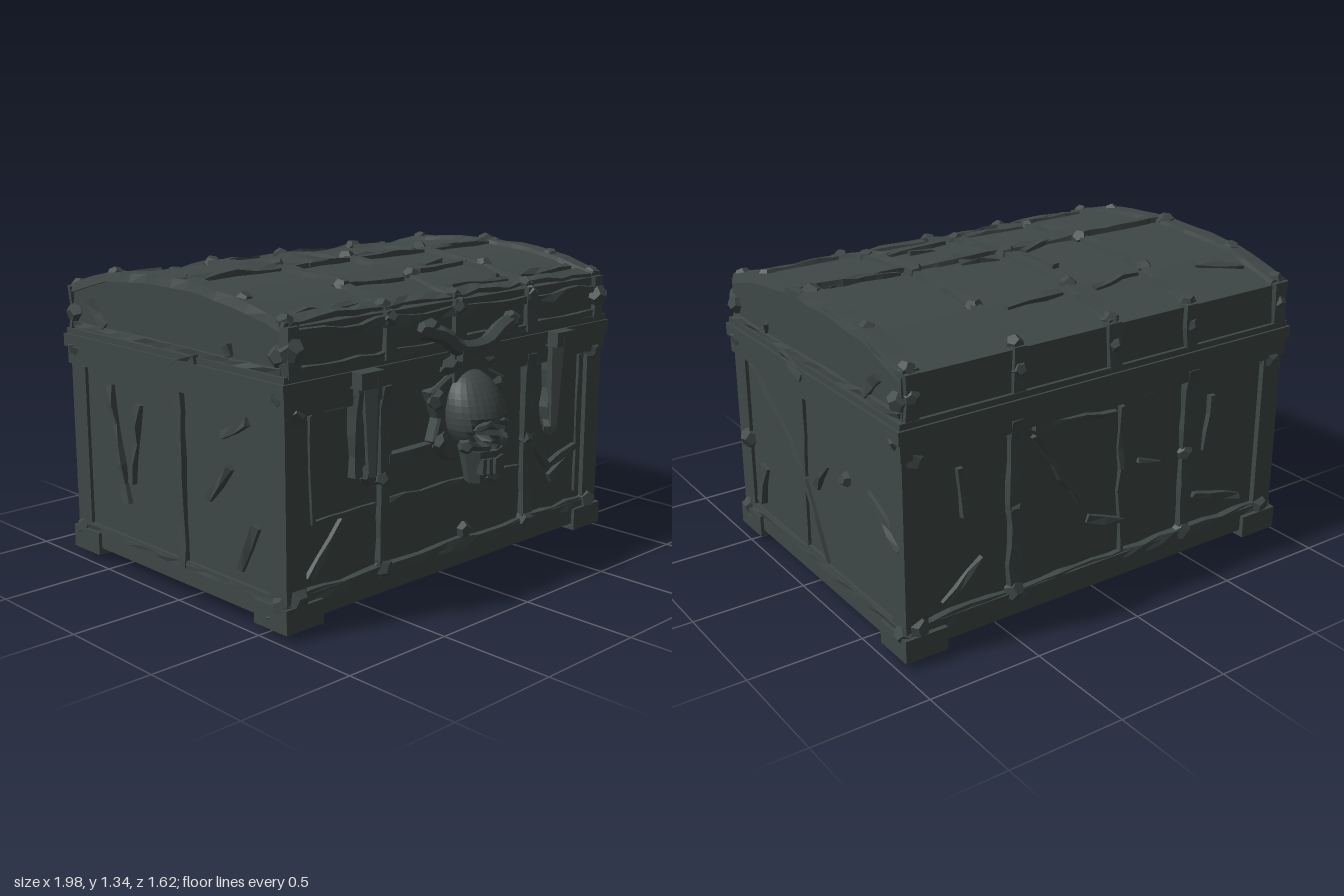
import * as THREE from 'three';

const iron = new THREE.MeshStandardMaterial({ color: 0x3f4847, flatShading: true });
iron.name = 'weathered dark grey';

let seed = 7;
const rnd = () => { seed = (seed * 16807) % 2147483647; return seed / 2147483647 - 0.5; };
const V = (x, y, z) => new THREE.Vector3(x, y, z);

// Lid outline, from front to back (z, y)
const arch = [[0.615, 1.185], [0.4, 1.245], [0.2, 1.272], [0, 1.285], [-0.25, 1.28], [-0.5, 1.258], [-0.77, 1.18]];
function archAt(z) {
  let i = 0;
  while (i < arch.length - 2 && arch[i + 1][0] > z) i++;
  const [z0, y0] = arch[i], [z1, y1] = arch[i + 1];
  return { y: y0 + (y1 - y0) * (z - z0) / (z1 - z0), n: V(0, z0 - z1, y1 - y0).normalize() };
}

// Surfaces: each maps two coordinates to a point and its outward normal
const faces = {
  front: (u, v) => ({ p: V(u, v, v > 0.86 ? 0.615 : 0.598), n: V(0, 0, 1) }),
  back: (u, v) => ({ p: V(u, v, v > 0.86 ? -0.77 : -0.75), n: V(0, 0, -1) }),
  right: (u, v) => ({ p: V(0.945, v, u), n: V(1, 0, 0) }),
  left: (u, v) => ({ p: V(-0.945, v, u), n: V(-1, 0, 0) }),
  lid: (u, v) => { const a = archAt(v); return { p: V(u, a.y, v), n: a.n }; },
};

export function createModel() {
  const root = new THREE.Group();
  root.name = 'treasureChest';

  function add(name, geo, x = 0, y = 0, z = 0) {
    const m = new THREE.Mesh(geo, iron);
    m.name = name;
    m.position.set(x, y, z);
    root.add(m);
    return m;
  }
  const box = (name, x0, x1, y0, y1, z0, z1) =>
    add(name, new THREE.BoxGeometry(x1 - x0, y1 - y0, z1 - z0), (x0 + x1) / 2, (y0 + y1) / 2, (z0 + z1) / 2);

  // Chipped strip lying on a surface, swept through a few points
  function strip(name, face, pts, w, t, rough = 0.25, step = 0.09) {
    const line = [];
    pts.forEach(([u, v], i) => {
      if (i === 0) return line.push([u, v]);
      const [a, b] = pts[i - 1];
      const k = Math.max(1, Math.round(Math.hypot(u - a, v - b) / step));
      for (let j = 1; j <= k; j++) line.push([a + (u - a) * j / k, b + (v - b) * j / k]);
    });
    const q = line.map(([u, v]) => faces[face](u, v));
    const pos = [], idx = [], last = q.length - 1;
    q.forEach(({ p, n }, i) => {
      const tan = q[Math.min(i + 1, last)].p.clone().sub(q[Math.max(i - 1, 0)].p).normalize();
      const s = tan.cross(n).normalize();
      const r = () => 1 + rnd() * 2 * rough;
      const a = w / 2 * r(), b = w / 2 * r(), h = t * r();
      [[a, -0.02], [a * 0.75, h], [-b * 0.75, t * r()], [-b, -0.02]].forEach(([x, y]) =>
        pos.push(...p.clone().addScaledVector(s, x).addScaledVector(n, y)));
      if (i === last) return;
      for (let k = 0; k < 4; k++) {
        const A = i * 4 + k, B = i * 4 + (k + 1) % 4;
        idx.push(A, A + 4, B + 4, A, B + 4, B);
      }
    });
    const e = last * 4;
    idx.push(0, 1, 2, 0, 2, 3, e, e + 3, e + 2, e, e + 2, e + 1);
    const g = new THREE.BufferGeometry();
    g.setAttribute('position', new THREE.Float32BufferAttribute(pos, 3));
    g.setIndex(idx);
    g.computeVertexNormals();
    return add(name, g);
  }

  // Rough hammered lump
  function lump(name, x, y, z, rx, ry, rz) {
    const m = add(name, new THREE.DodecahedronGeometry(1), x, y, z);
    m.scale.set(rx, ry, rz);
    m.rotation.set(rnd(), rnd(), rnd());
    return m;
  }
  function stud(face, u, v, r = 0.04) {
    const { p } = faces[face](u, v);
    lump('stud', p.x, p.y, p.z, r, r, r);
  }

  // Body with a raised frame
  box('body', -0.945, 0.945, 0.06, 0.88, -0.75, 0.598);
  box('bottomRail', -0.96, 0.96, 0.05, 0.15, -0.775, 0.62);
  for (const x of [-1, 1]) {
    for (const z of [-0.725, 0.57]) box('cornerPost', x * 0.91 - 0.05, x * 0.91 + 0.05, 0.05, 0.88, z - 0.05, z + 0.05);
    for (const z of [-0.7, 0.54]) {
      lump('foot', x * 0.88, 0.07, z, 0.1, 0.068, 0.1);
      box('footPlate', x * 0.88 - 0.095, x * 0.88 + 0.095, 0.02, 0.12, z - 0.095, z + 0.095);
    }
  }

  // Lid: rim and arched top
  box('lidRim', -0.97, 0.97, 0.855, 1.01, -0.785, 0.63);
  box('rimLip', -0.982, 0.982, 0.93, 0.985, -0.795, 0.64);
  const s = new THREE.Shape([[0.615, 0.95], ...arch, [-0.77, 0.95]].map(([z, y]) => new THREE.Vector2(-z, y)));
  const lid = new THREE.ExtrudeGeometry(s, { depth: 1.9, bevelEnabled: false });
  lid.translate(0, 0, -0.95).rotateY(Math.PI / 2);
  add('lidArch', lid);

  // Ribs over the lid, with studs
  for (const x of [-0.92, -0.42, -0.02, 0.44, 0.91]) {
    const edge = Math.abs(x) > 0.8;
    strip('lidRib', 'lid', [[x, 0.61], [x, -0.765]], edge ? 0.09 : 0.06, 0.018);
    strip('lidFrontRib', 'front', [[x, 1.0], [x, 1.19]], 0.08, 0.02);
    strip('lidBackRib', 'back', [[x, 1.0], [x, 1.19]], 0.08, 0.015);
    for (const z of [0.58, 0.35, -0.04, -0.47, -0.74]) stud('lid', x, z, z === -0.04 ? 0.046 : 0.04);
    stud('front', x, edge ? 1.1 : 1.16, edge ? 0.055 : 0.04);
    stud('back', x, 1.1, 0.035);
  }
  strip('lidCrossRib', 'lid', [[-0.94, 0], [0.94, 0]], 0.05, 0.018, 0.5);
  strip('lidFrontEdge', 'lid', [[-0.94, 0.57], [0.94, 0.57]], 0.07, 0.016, 0.5);
  strip('lidFrontBand', 'front', [[-0.94, 1.15], [0.94, 1.13]], 0.05, 0.015, 0.5);
  strip('lidLowerBand', 'front', [[-0.95, 1.02], [0.95, 1.02]], 0.04, 0.015, 0.4);
  // Splinters on the lid
  [[-0.85, -0.62, -0.65, -0.53], [-0.35, -0.5, -0.1, -0.53], [0.05, -0.52, 0.33, -0.53], [0.05, -0.08, 0.22, -0.05],
    [0.5, -0.02, 0.82, -0.01], [0.06, 0.32, 0.4, 0.28], [0.38, 0.28, 0.38, 0.48], [-0.85, 0.52, -0.5, 0.52],
    [-0.4, 0.35, -0.1, 0.38], [0.5, 0.5, 0.85, 0.5], [0.05, 0.5, 0.4, 0.52], [0.18, 0.23, 0.3, 0.22],
    [-0.09, -0.3, -0.06, -0.05], [-0.3, 0.02, -0.1, -0.06]]
    .forEach(([a, b, c, d]) => strip('lidSplinter', 'lid', [[a, b], [c, d]], 0.035, 0.014, 0.6));

  // Front and back straps and planks
  for (const f of ['front', 'back']) {
    for (const x of [-0.44, 0.45]) {
      strip('strap', f, [[x, 0.1], [x, 0.9]], 0.07, 0.024);
      stud(f, x, 0.15, 0.05);
      stud(f, x, 0.52, 0.04);
    }
    for (const x of [-0.9, 0.9]) { stud(f, x, 0.14, 0.055); stud(f, x, 0.85, 0.05); }
    strip('lowerBand', f, [[-0.93, 0.14], [0.93, 0.14]], 0.05, 0.022, 0.4);
    strip('upperBand', f, [[-0.95, 0.86], [0.95, 0.86]], 0.03, 0.026, 0.2);
  }
  strip('plankEdge', 'front', [[-0.4, 0.42], [0.4, 0.4]], 0.03, 0.012, 0.5);
  strip('plankEdge', 'front', [[-0.82, 0.84], [-0.81, 0.42], [-0.48, 0.42]], 0.025, 0.012);
  strip('plankEdge', 'front', [[0.82, 0.84], [0.82, 0.2]], 0.025, 0.012);
  strip('brokenPlank', 'front', [[-0.84, 0.2], [-0.66, 0.4]], 0.04, 0.02);
  strip('brokenPlank', 'front', [[-0.42, 0.6], [-0.18, 0.6]], 0.05, 0.03);
  strip('brokenPlank', 'front', [[0.48, 0.52], [0.6, 0.36], [0.8, 0.42]], 0.04, 0.02);
  strip('brokenPlank', 'front', [[0.62, 0.3], [0.74, 0.36]], 0.05, 0.02);
  stud('front', 0.05, 0.19, 0.04);
  [[0.36, 0.84, -0.05, 0.8], [0.36, 0.8, 0.12, 0.45], [-0.5, 0.3, -0.78, 0.22], [0.6, 0.35, 0.78, 0.2], [-0.1, 0.3, 0.08, 0.36],
    [-0.58, 0.75, -0.56, 0.5], [-0.08, 0.82, -0.1, 0.16], [0.7, 0.76, 0.68, 0.55], [-0.3, 0.5, -0.18, 0.55]]
    .forEach(([a, b, c, d]) => strip('backSplinter', 'back', [[a, b], [c, d]], 0.035, 0.018, 0.5));

  // Side planks and splinters
  strip('brokenPlank', 'right', [[0.48, 0.855], [0.01, 0.5], [0, 0.855]], 0.025, 0.014, 0.2);
  strip('brokenPlank', 'right', [[0.02, 0.47], [-0.15, 0.16], [0.02, 0.16], [0.02, 0.47]], 0.025, 0.014, 0.2);
  strip('splinter', 'right', [[0.45, 0.2], [0.4, 0.38]], 0.05, 0.02, 0.5);
  strip('splinter', 'right', [[-0.08, 0.48], [-0.18, 0.61]], 0.04, 0.02, 0.5);
  strip('splinter', 'right', [[-0.5, 0.62], [-0.62, 0.56], [-0.74, 0.48]], 0.035, 0.02, 0.5);
  stud('right', -0.33, 0.61, 0.035);
  stud('right', 0.54, 0.47, 0.05);
  strip('sideStrap', 'left', [[-0.02, 0.12], [-0.02, 0.87]], 0.06, 0.02);
  [[-0.5, 0.8, -0.4, 0.3], [-0.3, 0.75, -0.36, 0.4], [0.15, 0.45, 0.3, 0.6], [0.4, 0.8, 0.25, 0.72], [0.35, 0.2, 0.45, 0.4]]
    .forEach(([a, b, c, d]) => strip('splinter', 'left', [[a, b], [c, d]], 0.04, 0.022, 0.5));
  for (const f of ['right', 'left']) {
    strip('sideLidBand', f, [[0.6, 1.02], [-0.76, 1.03]], 0.03, 0.018, 0.4);
    strip('sideLowerBand', f, [[0.6, 0.13], [-0.76, 0.13]], 0.03, 0.018, 0.3);
    strip('lidEndSplinter', f, [[0.12, 1.0], [-0.06, 0.96]], 0.04, 0.032, 0.5);
    strip('lidEndSplinter', f, [[-0.52, 1.04], [-0.62, 1.14]], 0.05, 0.02, 0.5);
    strip('lidEndSplinter', f, [[0.31, 1.04], [0.29, 1.08]], 0.04, 0.02, 0.5);
    for (const z of [0.58, -0.74]) for (const y of [1.08, 0.93, 0.12]) stud(f, z, y, 0.045);
  }

  // Tapered hinge pegs on the front
  for (const [x, lean] of [[-0.58, 0.03], [0.6, -0.015]]) {
    strip('pegPlate', 'front', [[x, 0.56], [x, 0.98]], 0.1, 0.035);
    const peg = add('peg', new THREE.CylinderGeometry(0.048, 0.022, 0.4, 5), x + lean, 0.76, 0.65);
    peg.rotation.z = lean;
    box('pegHead', x - 0.06, x + 0.06, 0.92, 0.985, 0.6, 0.695);
    lump('pegTip', x + lean, 0.56, 0.63, 0.03, 0.05, 0.04);
  }

  // Hasp with horn-like wings
  box('haspPlate', -0.09, 0.12, 0.86, 1.0, 0.6, 0.665);
  box('haspBar', -0.08, 0.11, 0.95, 1.0, 0.6, 0.7);
  const wing = new THREE.CatmullRomCurve3([V(-0.25, 1.09, 0.63), V(-0.15, 1.06, 0.66), V(-0.07, 1.0, 0.67),
    V(0.1, 1.0, 0.67), V(0.18, 1.04, 0.66), V(0.31, 1.07, 0.63)]);
  add('hornWings', new THREE.TubeGeometry(wing, 14, 0.036, 6));
  for (const [x, y] of [[-0.22, 1.1], [0.29, 1.07], [-0.1, 0.93], [0.13, 0.93]]) lump('wingKnob', x, y, 0.64, 0.05, 0.04, 0.04);

  // Lock plate behind the skull
  const plate = new THREE.Shape([[-0.2, 0.83], [-0.1, 0.88], [0.13, 0.88], [0.24, 0.83], [0.21, 0.72], [0.24, 0.63],
    [0.14, 0.54], [-0.09, 0.54], [-0.18, 0.63], [-0.15, 0.72]].map(([x, y]) => new THREE.Vector2(x, y)));
  add('lockPlate', new THREE.ExtrudeGeometry(plate, { depth: 0.05, bevelSize: 0.01, bevelThickness: 0.01, bevelSegments: 1 }), 0, 0, 0.59);
  for (const [x, y] of [[-0.17, 0.8], [0.2, 0.8], [-0.15, 0.62], [0.2, 0.62]]) lump('plateKnob', x, y, 0.645, 0.045, 0.05, 0.03);

  // Skull: a sphere pushed in at the sockets, nose and cheeks
  const g = new THREE.SphereGeometry(1, 28, 22);
  const P = g.attributes.position;
  for (let i = 0; i < P.count; i++) {
    let x = P.getX(i), y = P.getY(i), z = P.getZ(i);
    const dent = (cx, cy, r, d) => { if (z > 0) z -= d * Math.max(0, 1 - Math.hypot(x - cx, y - cy) / r); };
    const below = Math.max(0, -y - 0.3);
    dent(-0.42, -0.35, 0.34, 0.65);
    dent(0.42, -0.35, 0.34, 0.65);
    dent(0, -0.68, 0.2, 0.4);
    x *= 1 - below * 0.25;
    P.setXYZ(i, x * 0.145 + 0.015, y * 0.18 + 0.725, z * 0.13 + 0.68 - y * 0.045);
  }
  g.computeVertexNormals();
  add('skullCranium', g);
  for (const x of [-1, 1]) {
    lump('cheekbone', 0.015 + x * 0.1, 0.61, 0.73, 0.035, 0.035, 0.05);
    lump('brow', 0.015 + x * 0.06, 0.695, 0.79, 0.055, 0.018, 0.022);
  }
  const jaw = add('skullJaw', new THREE.CylinderGeometry(0.1, 0.07, 0.14, 8), 0.015, 0.515, 0.72);
  jaw.scale.z = 0.85;
  for (let i = -2; i <= 2; i++) box('tooth', 0.004 + i * 0.027, 0.026 + i * 0.027, 0.49, 0.555, 0.76, 0.812 - Math.abs(i) * 0.01);
  lump('chin', 0.015, 0.465, 0.745, 0.065, 0.03, 0.045);

  return root;
}
